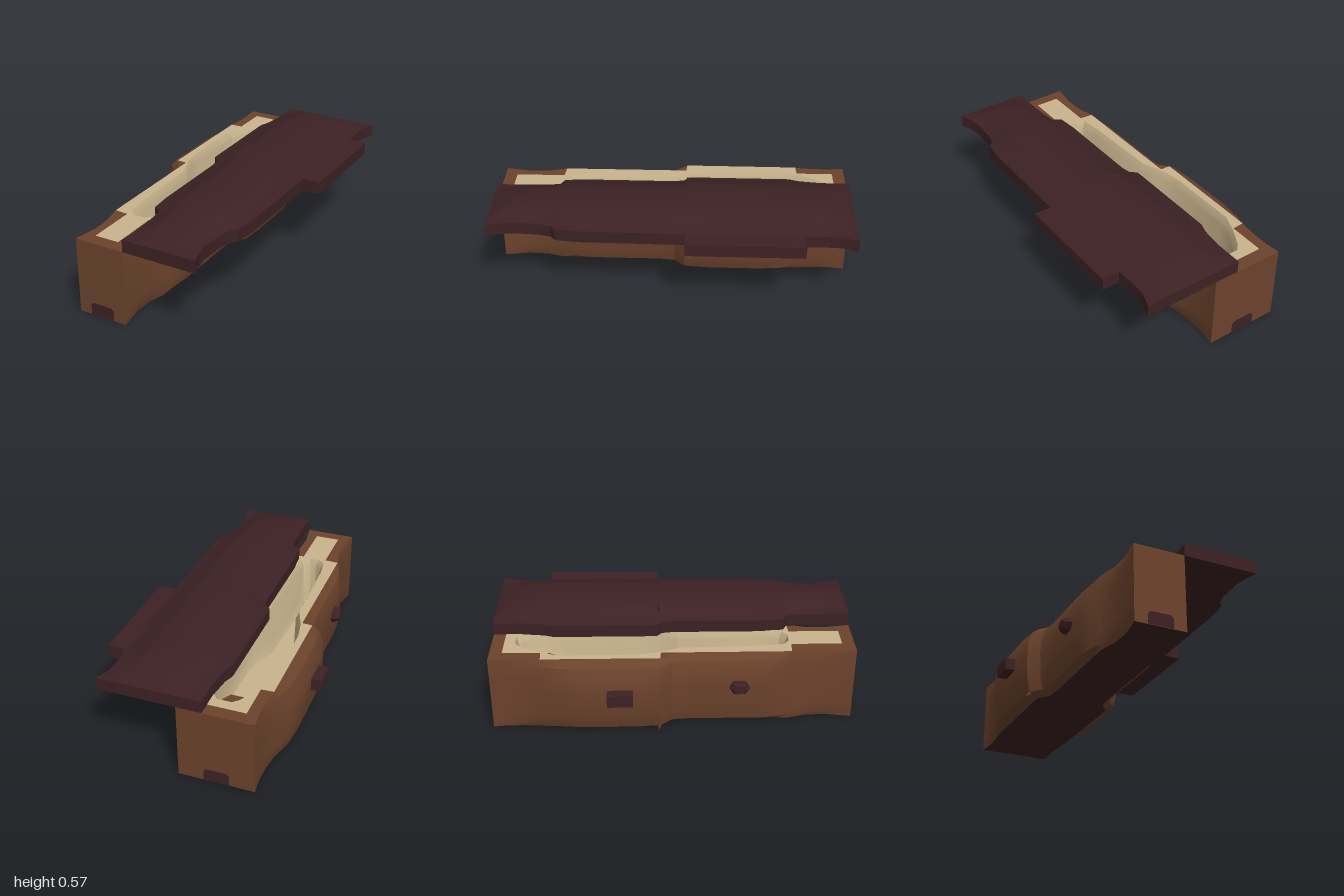
import * as THREE from 'three';
import { toCreasedNormals } from 'three/addons/utils/BufferGeometryUtils.js';

const CX = -0.18; // centre line of the coffin body

const material = (name, color) => {
  const m = new THREE.MeshStandardMaterial({ color, side: THREE.DoubleSide });
  m.name = name;
  return m;
};

// Joins closed cross-sections into a skin; skipped edges stay open.
function loft(sections, { skip = [], caps = true } = {}) {
  const n = sections[0].length, pos = [];
  const tri = (...pts) => pts.forEach(p => pos.push(...p));
  for (let i = 0; i < sections.length - 1; i++) {
    for (let j = 0; j < n; j++) {
      if (skip.includes(j)) continue;
      const k = (j + 1) % n;
      const a = sections[i][j], b = sections[i][k], c = sections[i + 1][k], d = sections[i + 1][j];
      tri(a, d, c);
      tri(a, c, b);
    }
  }
  if (caps) {
    [sections[0], sections[sections.length - 1]].forEach((s, end) => {
      const mid = [0, 1, 2].map(q => s.reduce((t, p) => t + p[q], 0) / n);
      s.forEach((p, j) => {
        const next = s[(j + 1) % n];
        if (end) tri(mid, next, p); else tri(mid, p, next);
      });
    });
  }
  const g = new THREE.BufferGeometry();
  g.setAttribute('position', new THREE.Float32BufferAttribute(pos, 3));
  return toCreasedNormals(g, 0.5);
}

// Symmetric outline in plan from [z, halfWidth] pairs.
const outline = rows => [
  ...rows.map(([z, h]) => [CX + h, z]),
  ...[...rows].reverse().map(([z, h]) => [CX - h, z]),
];

// Horizontal face from a plan outline, with an optional hole.
function flat(points, y, hole, down = false) {
  const s = down ? 1 : -1;
  const vec = p => p.map(([x, z]) => new THREE.Vector2(x, s * z));
  const shape = new THREE.Shape(vec(points));
  if (hole) shape.holes.push(new THREE.Path(vec(hole)));
  return new THREE.ShapeGeometry(shape).rotateX(s * Math.PI / 2).translate(0, y, 0);
}

export function createModel() {
  const wood = material('brown wood', 0x6c432c);
  const dark = material('dark wood', 0x3d2124);
  const cream = material('cream lining', 0xc9b48d);
  const group = new THREE.Group();
  const add = (name, geometry, mat) => {
    const mesh = new THREE.Mesh(geometry, mat);
    mesh.name = name;
    group.add(mesh);
    return mesh;
  };

  // Body: z, half width at the belly, half width at top and bottom
  const stations = [
    [1, 0.143, 0.143], [0.86, 0.138, 0.12], [0.75, 0.142, 0.125], [0.65, 0.16, 0.15],
    [0.58, 0.195, 0.152], [0.48, 0.213, 0.152], [0.08, 0.213, 0.152], [-0.01, 0.225, 0.16],
    [-0.07, 0.28, 0.21], [-0.2, 0.298, 0.212], [-0.5, 0.298, 0.212], [-0.63, 0.28, 0.212],
    [-0.72, 0.235, 0.21], [-0.82, 0.215, 0.2], [-0.92, 0.208, 0.2], [-1, 0.21, 0.21],
  ];
  const profile = [[0, 0], [0.65, 0.03], [0.92, 0.1], [1, 0.25], [0.95, 0.33], [0.6, 0.4], [0, 0.43]];
  const bodySections = stations.map(([z, belly, edge]) => {
    const side = s => profile.map(([f, y]) => [CX + s * (edge + (belly - edge) * f), y, z]);
    return [...side(1), ...side(-1).reverse()];
  });
  add('body', loft(bodySections, { skip: [6, 13] }), wood);
  const plan = outline(stations.map(([z, , edge]) => [z, edge]));
  add('underside', flat(plan, 0, null, true), dark);

  // Hollow interior and its lining
  const cavity = [
    [0.64, 0.03], [0.61, 0.07], [0.5, 0.085], [0.03, 0.1], [-0.08, 0.145], [-0.2, 0.168],
    [-0.63, 0.17], [-0.74, 0.125], [-0.84, 0.07], [-0.87, 0.04],
  ];
  const ring = inset => outline(cavity.map(([z, h]) =>
    [-0.115 + (z + 0.115) * (1 - inset), Math.max(0.015, h - inset)]));
  add('rim', flat(plan, 0.43, ring(0)), wood);
  const trim = [
    [0.93, 0.07], [0.65, 0.07], [0.645, 0.148], [-0.068, 0.15],
    [-0.072, 0.209], [-0.718, 0.209], [-0.722, 0.14], [-0.93, 0.14],
  ];
  add('rimLining', flat(outline(trim), 0.433, ring(0)), cream);
  const walls = [[0.433, 0], [0.39, 0.018], [0.18, 0.025], [0.12, 0.045]].map(([y, inset]) =>
    ring(inset).map(([x, z]) => [x, y, z]));
  add('innerWalls', loft(walls, { caps: false }), cream);
  add('innerFloor', flat(ring(0.045), 0.12), cream);

  // Wooden headrest inside the head end
  const restShape = new THREE.Shape([[-0.04, 0.84], [0.04, 0.84], [0.08, 0.7], [0.05, 0.65], [-0.05, 0.65], [-0.08, 0.7]]
    .map(p => new THREE.Vector2(...p)));
  add('headrest', new THREE.ExtrudeGeometry(restShape, { depth: 0.18, bevelEnabled: false })
    .rotateX(-Math.PI / 2).translate(CX, 0.12, 0), wood);

  // Lid: z, left edge, right edge, dome rise above the rim
  const lidRows = [
    [1, -0.035, 0.39, 0], [0.94, -0.03, 0.37, 0.02], [0.86, -0.03, 0.355, 0.05], [0.72, -0.035, 0.362, 0.058],
    [0.645, -0.045, 0.38, 0.06], [0.62, -0.09, 0.41, 0.061], [0.5, -0.1, 0.425, 0.062], [0, -0.1, 0.43, 0.068],
    [-0.06, -0.11, 0.43, 0.07], [-0.09, -0.145, 0.43, 0.07], [-0.66, -0.145, 0.43, 0.068],
    [-0.72, -0.125, 0.43, 0.066], [-0.84, -0.11, 0.425, 0.058], [-0.92, -0.11, 0.43, 0.035], [-1, -0.11, 0.46, 0],
  ];
  const dome = [[1, 0], [0.9, 0.2], [0.8, 0.7], [0.68, 1], [0.32, 1], [0.2, 0.7], [0.1, 0.2], [0, 0]];
  add('lid', loft(lidRows.map(([z, l, r, rise]) => [
    [l, 0.43, z], [r, 0.43, z],
    ...dome.map(([t, f]) => [l + (r - l) * t, 0.5 + rise * f, z]),
  ])), dark);
  const ledge = add('lidLedge', new THREE.BoxGeometry(0.15, 0.07, 0.64), dark);
  ledge.position.set(0.455, 0.465, -0.4);

  // Sloped lip beneath the lid, along both body widths
  [[0.13, -0.06, -0.7], [0.06, 0.62, -0.06]].forEach(([x, z0, z1]) => {
    const lip = z => [[x - 0.09, 0.405, z], [x, 0.405, z], [x + 0.07, 0.432, z], [x - 0.09, 0.434, z]];
    add('lidLip', loft([lip(z0), lip(z1)]), dark);
  });

  // Small splinters on the lid and the lower left edge
  const splinter = (name, x, y, z, mat) => {
    const m = add(name, new THREE.ConeGeometry(0.025, 0.07, 4), mat);
    m.position.set(x, y, z);
    return m;
  };
  splinter('lidSplinter', -0.03, 0.537, -0.08, dark);
  splinter('bodySplinter', -0.43, 0.03, -0.08, wood).rotation.z = 2.4;

  // Handles: outer x, y size, z centre, z size, depth
  [[0.075, 0.07, 0.36, 0.12, 0.07, 1], [0.145, 0.08, -0.28, 0.12, 0.06, 1],
    [-0.435, 0.07, 0.36, 0.11, 0.07, -1]].forEach(([x, h, z, w, depth, side]) => {
    const block = (X, k) => [[-1, 0], [-0.6, -1], [0.6, -1], [1, 0], [0.6, 1], [-0.6, 1]]
      .map(([a, b]) => [X, 0.25 + b * h * k / 2, z + a * w * k / 2]);
    add('handle', loft([block(x - side * depth, 1), block(x - side * 0.025, 1), block(x, 0.65)]), dark);
  });
  const knob = add('sideHandle', new THREE.BoxGeometry(0.1, 0.07, 0.14), dark);
  knob.position.set(-0.485, 0.25, -0.29);

  // Dark foot plates on both ends
  const plate = new THREE.Shape([[-0.07, 0], [0.07, 0], [0.07, 0.055], [0.055, 0.07], [-0.055, 0.07], [-0.07, 0.055]]
    .map(p => new THREE.Vector2(...p)));
  [0.996, -1.002].forEach(z => {
    add('footPlate', new THREE.ExtrudeGeometry(plate, { depth: 0.006, bevelEnabled: false })
      .translate(CX, 0.003, z), dark);
  });

  return group;
}
